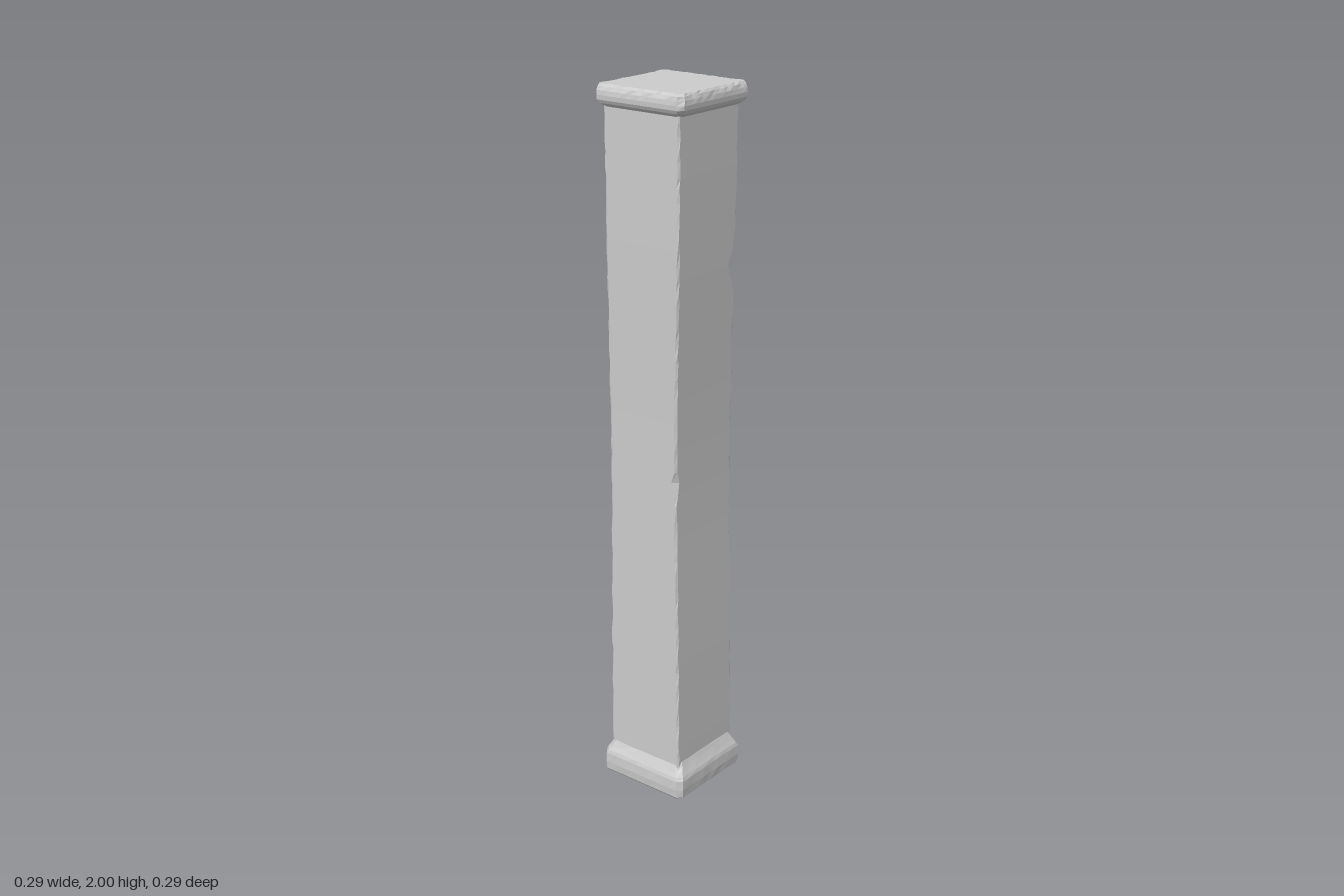
import * as THREE from 'three';

const stone = new THREE.MeshStandardMaterial({ color: 0xcccccc, flatShading: true });

// Small seeded generator for the worn edges
let seed = 7;
const rnd = () => (seed = (seed * 16807) % 2147483647) / 2147483647;

// Square ring with chamfered corners; box = [+x, -x, +z, -z] extents.
// cut(k) gives the two chamfer lengths of corner k, wear() an inset for points along a side.
function ring(y, [xp, xn, zp, zn], cut, n = 1, wear = () => 0) {
  const signs = [[1, 1], [1, -1], [-1, -1], [-1, 1]];
  const ends = signs.map(([sx, sz], k) => {
    const x = sx > 0 ? xp : -xn, z = sz > 0 ? zp : -zn;
    const [a, b] = cut(k);
    const onZ = [x - sx * a, z], onX = [x, z - sz * b];
    return k % 2 ? [onX, onZ] : [onZ, onX];
  });
  const pts = [];
  ends.forEach(([first, last], k) => {
    pts.push([first[0], y, first[1]]);
    const next = ends[(k + 1) % 4][0];
    for (let i = 0; i < n; i++) {
      const t = i / n, s = 1 - (i ? wear(k) : 0);
      const x = last[0] + (next[0] - last[0]) * t;
      const z = last[1] + (next[1] - last[1]) * t;
      // push the point inwards across its own side only
      pts.push(k % 2 ? [x, y, z * s] : [x * s, y, z]);
    }
  });
  return pts;
}

// Skin a stack of rings and close both ends
function loft(name, rings) {
  const n = rings[0].length, pos = rings.flat(2), idx = [];
  for (let i = 0; i < rings.length - 1; i++) {
    for (let j = 0; j < n; j++) {
      const a = i * n + j, b = i * n + (j + 1) % n;
      idx.push(a, b, b + n, a, b + n, a + n);
    }
  }
  const low = rings.length * n, high = low + 1, top = low - n;
  pos.push(0, rings[0][0][1], 0, 0, rings.at(-1)[0][1], 0);
  for (let j = 0; j < n; j++) {
    const k = (j + 1) % n;
    idx.push(low, k, j, high, top + j, top + k);
  }
  const g = new THREE.BufferGeometry();
  g.setAttribute('position', new THREE.Float32BufferAttribute(pos, 3));
  g.setIndex(idx);
  g.computeVertexNormals();
  const mesh = new THREE.Mesh(g, stone);
  mesh.name = name;
  return mesh;
}

const square = (h) => [h, h, h, h];
const bump = (y, at, width) => Math.exp(-(((y - at) / width) ** 2));

export function createModel() {
  seed = 7;
  const group = new THREE.Group();
  group.name = 'stonePillar';

  // Base: straight plinth flaring in to the shaft
  const baseProfile = [[0, 0.137], [0.006, 0.142], [0.03, 0.144], [0.058, 0.143],
    [0.068, 0.140], [0.08, 0.133], [0.092, 0.127], [0.105, 0.121]];
  group.add(loft('base', baseProfile.map(([y, h]) =>
    ring(y, square(h), () => [0.012 + rnd() * 0.004, 0.012 + rnd() * 0.004], 8, () => rnd() * 0.008))));

  // Shaft: slightly waisted, with chipped vertical edges
  const shaftRings = [];
  const steps = 56;
  for (let i = 0; i <= steps; i++) {
    const jitter = i > 0 && i < steps ? (rnd() - 0.5) * 0.015 : 0;
    const y = 0.09 + 1.87 * i / steps + jitter;
    const waist = bump(y, 0.98, 0.5);
    const box = [0.121 - 0.012 * waist, 0.125 - 0.005 * waist,
      0.124 - 0.003 * waist, 0.123 - 0.003 * waist - 0.004 * bump(y, 1.5, 0.2)];
    shaftRings.push(ring(y, box, (k) => {
      // larger chips on the two corners of the +x side
      const chip = k === 1 ? 0.022 * bump(y, 1.52, 0.035) : k === 0 ? 0.012 * bump(y, 0.95, 0.03) : 0;
      return [0.002 + rnd() * 0.006 + chip, 0.002 + rnd() * 0.006 + chip];
    }));
  }
  group.add(loft('shaft', shaftRings));

  // Cap: rounded moulding with a worn upper rim
  const capProfile = [[1.94, 0.122, 0], [1.945, 0.13, 0], [1.951, 0.138, 0], [1.96, 0.143, 0],
    [1.972, 0.144, 0], [1.984, 0.143, 0.012], [1.994, 0.14, 0.03], [2, 0.136, 0.06]];
  group.add(loft('cap', capProfile.map(([y, h, wear]) =>
    ring(y, square(h), () => [0.011 + rnd() * 0.005, 0.011 + rnd() * 0.005], 14, () => rnd() * wear))));

  return group;
}
